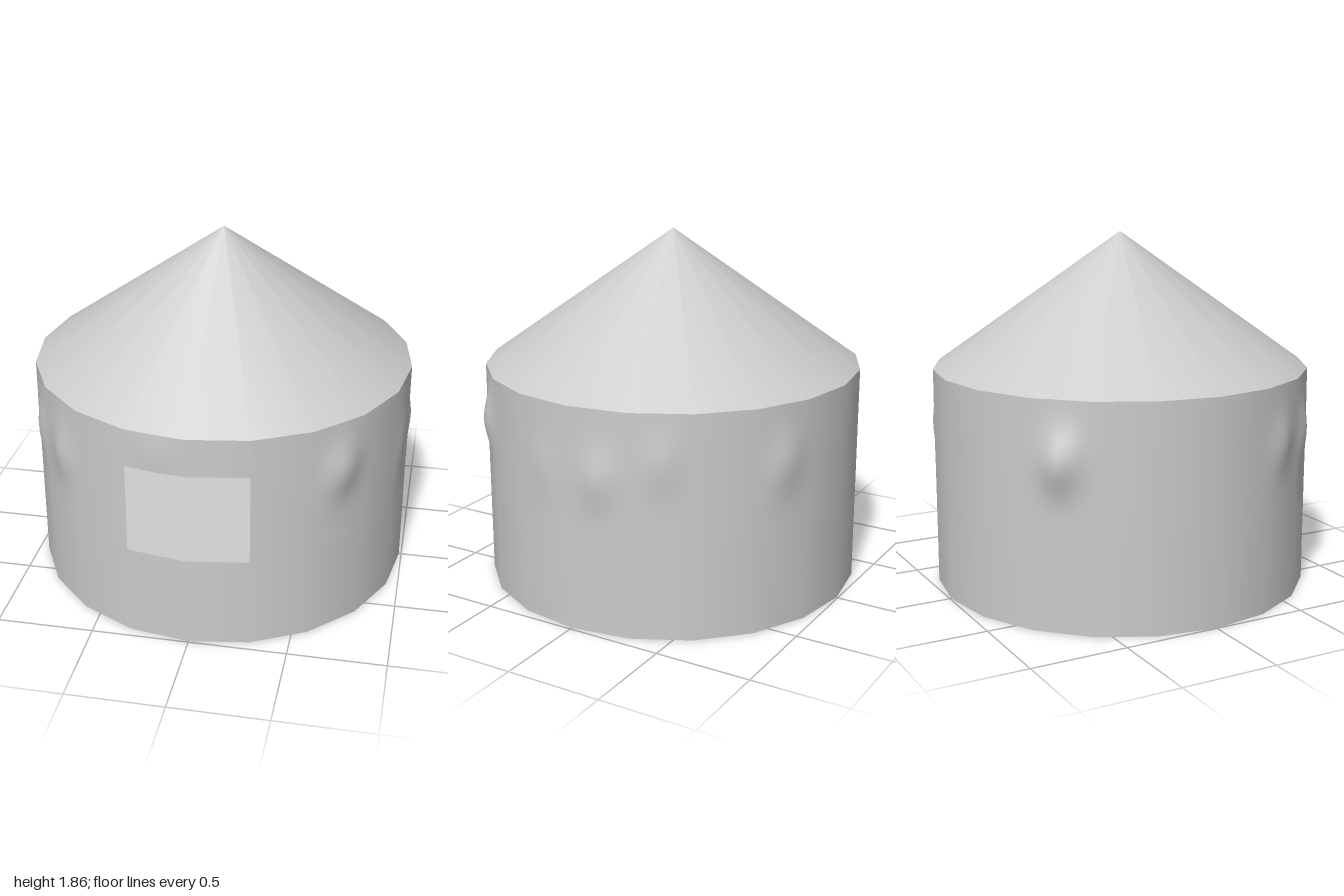
import * as THREE from 'three';

const R = 0.993, SIDES = 20, STEP = (Math.PI * 2) / SIDES;
const SILL = 0.48, LINTEL = 0.955, EAVE = 1.155, APEX = 1.86;

// Bulges of the rough plaster: x, z, height, amount
const BULGES = [
  [-0.74, -0.74, 0.85, 0.068], [0.45, -0.9, 0.85, 0.026], [0.89, -0.45, 0.9, 0.02],
  [1, -0.16, 0.8, 0.032], [0.98, 0.16, 0.8, 0.012], [0.74, 0.71, 0.9, 0.042],
  [-0.9, 0.45, 0.85, 0.026], [-0.71, 0.72, 0.85, 0.03], [-0.15, 0.98, 1.05, 0.012],
];

function bulge(angle, y) {
  let sum = 0;
  for (const [x, z, h, amount] of BULGES) {
    const d = angle - Math.atan2(x, z);
    const a = Math.atan2(Math.sin(d), Math.cos(d)) / 0.09;
    const v = (y - h) / 0.14;
    sum += amount * Math.exp(-a * a - v * v);
  }
  return sum;
}

// Thin wall strip: bulged while round for smooth normals, then flattened to the polygon
function wallStrip(y0, y1, firstSide, sides) {
  const geo = new THREE.CylinderGeometry(R, R, y1 - y0, sides * 6, 14, true, firstSide * STEP, sides * STEP);
  geo.translate(0, (y0 + y1) / 2, 0);
  const p = geo.attributes.position;
  const scaleRadius = (rule) => {
    for (let i = 0; i < p.count; i++) {
      const x = p.getX(i), z = p.getZ(i);
      const k = rule(Math.atan2(x, z), p.getY(i));
      p.setX(i, x * k);
      p.setZ(i, z * k);
    }
  };
  scaleRadius((a, y) => 1 + bulge(a, y) / R);
  geo.computeVertexNormals();
  scaleRadius((a) => {
    const local = a - (Math.floor(a / STEP + 1e-6) + 0.5) * STEP;
    return Math.cos(STEP / 2) / Math.cos(local);
  });
  return geo;
}

export function createModel() {
  const group = new THREE.Group();
  const solid = new THREE.MeshStandardMaterial({ color: 0xcccccc });
  const thin = new THREE.MeshStandardMaterial({ color: 0xcccccc, side: THREE.DoubleSide });
  const add = (name, geo, mat, y = 0) => {
    const mesh = new THREE.Mesh(geo, mat);
    mesh.name = name;
    mesh.position.set(-0.006, y, 0);
    group.add(mesh);
  };

  // Solid lower drum, whose top is the floor behind the opening
  add('base', new THREE.CylinderGeometry(R, R, SILL, SIDES), solid, SILL / 2);

  // Hollow upper wall, left open for two sides at the front
  add('wall', wallStrip(SILL, EAVE, 1, SIDES - 2), thin);
  add('lintel', wallStrip(LINTEL, EAVE, -1, 2), thin);

  // Conical roof with a flat underside
  add('roof', new THREE.ConeGeometry(R, APEX - EAVE, SIDES), solid, (APEX + EAVE) / 2);
  return group;
}
